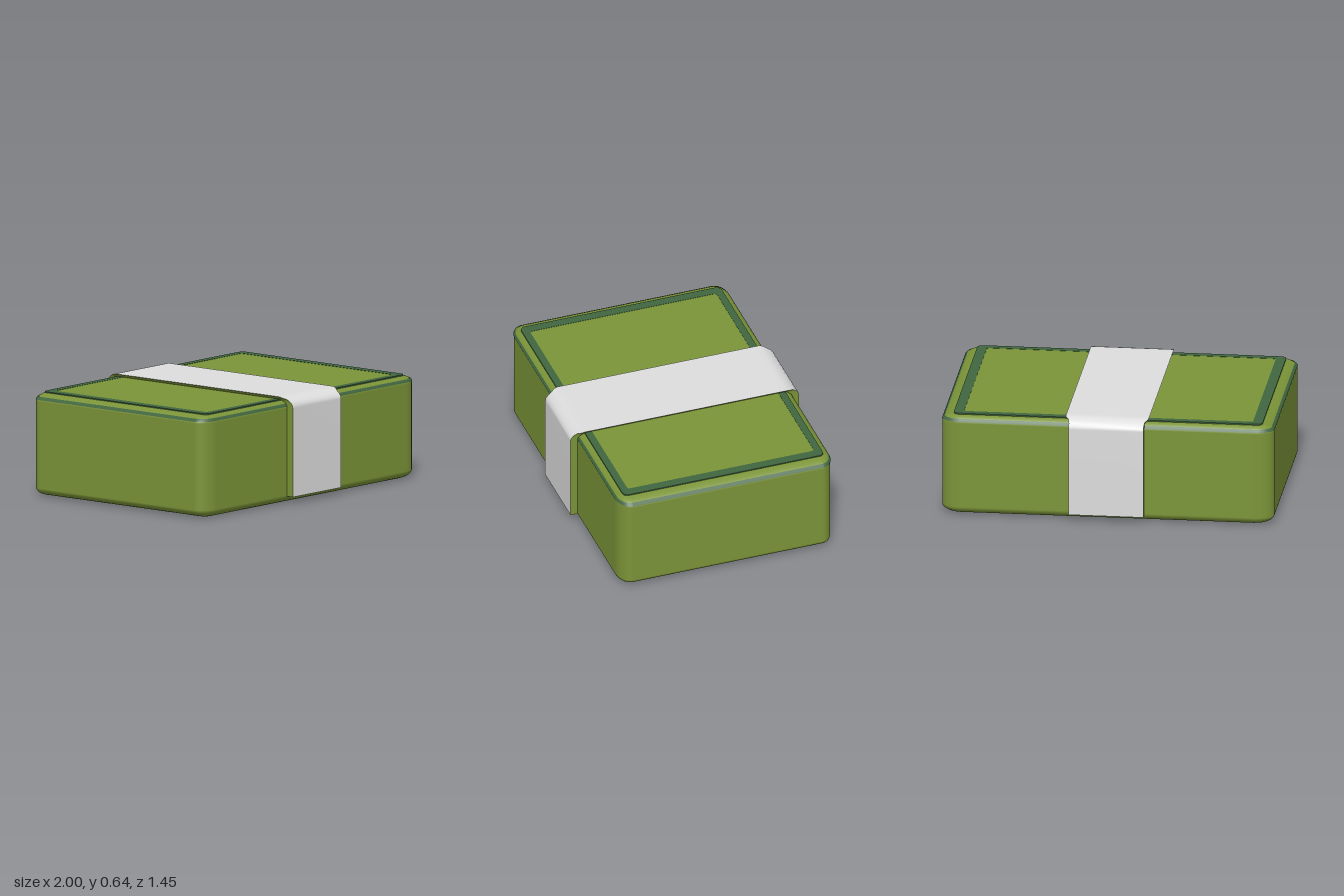
import * as THREE from 'three';
import { RoundedBoxGeometry } from 'three/addons/geometries/RoundedBoxGeometry.js';

// Box half sizes, height and the radii of its softened edges
const HX = 1, HZ = 0.68, H = 0.627;
const RX = 0.12, RY = 0.05, RZ = 0.08;

// Joins rows of points into a surface
function loft(rows) {
  const n = rows[0].length, index = [];
  for (let i = 0; i < rows.length - 1; i++) {
    for (let j = 0; j < n - 1; j++) {
      const a = i * n + j, b = a + 1, c = a + n, d = c + 1;
      index.push(a, b, c, b, d, c);
    }
  }
  const geo = new THREE.BufferGeometry();
  geo.setAttribute('position', new THREE.Float32BufferAttribute(rows.flat(2), 3));
  geo.setIndex(index);
  geo.computeVertexNormals();
  return geo;
}

// Rounded rectangle outline, with elliptical corners
function outline(path, hx, hz, rx, rz) {
  const corners = [[1, 1], [-1, 1], [-1, -1], [1, -1]];
  corners.forEach(([sx, sz], k) => {
    const start = k * Math.PI / 2;
    path.absellipse(sx * (hx - rx), sz * (hz - rz), rx, rz, start, start + Math.PI / 2, false, 0);
  });
  path.closePath();
  return path;
}

// Horizontal slice of the softened box, lifted slightly off its surface
function slice(y) {
  const t = Math.max(0, (y - (H - RY)) / RY);
  const k = Math.sqrt(1 - t * t), lift = 0.003;
  const path = outline(new THREE.Path(), HX - RX + RX * k + lift, HZ - RZ + RZ * k + lift, RX * k, RZ * k);
  return path.getPoints(6).map((p) => [p.x, y, p.y]);
}

export function createModel() {
  const group = new THREE.Group();
  const green = new THREE.MeshStandardMaterial({ color: 0x7b9438 });
  green.name = 'olive green';
  const teal = new THREE.MeshStandardMaterial({ color: 0x416640, side: THREE.DoubleSide });
  teal.name = 'dark green trim';
  const grey = new THREE.MeshStandardMaterial({ color: 0xdddddd, side: THREE.DoubleSide });
  grey.name = 'light grey';
  const edgeGreen = new THREE.MeshStandardMaterial({ color: 0x7b9438, side: THREE.DoubleSide });
  edgeGreen.name = 'strap edge green';

  const add = (name, geo, mat) => {
    const mesh = new THREE.Mesh(geo, mat);
    mesh.name = name;
    group.add(mesh);
    return mesh;
  };

  // Softened box
  const body = new RoundedBoxGeometry(2 * HX / RX, H / RY, 2 * HZ / RZ, 5, 1);
  body.scale(RX, RY, RZ);
  body.translate(0, H / 2, 0);
  add('boxBody', body, green);

  // Seam line around the lid
  add('lidSeam', loft([slice(0.587), slice(0.596), slice(0.604)]), teal);

  // Thin frame on the lid
  const frame = outline(new THREE.Shape(), 0.93, 0.637, 0.04, 0.03);
  frame.holes.push(outline(new THREE.Path(), 0.87, 0.592, 0.02, 0.015));
  const frameGeo = new THREE.ExtrudeGeometry(frame, { depth: 0.009, bevelEnabled: false, curveSegments: 5 });
  frameGeo.rotateX(-Math.PI / 2);
  frameGeo.translate(0, H - 0.0075, 0);
  add('lidFrame', frameGeo, teal);

  // Strap path: outer z, outer y, outer half width, inner z, inner y
  const half = [
    [0.725, 0.042, 0.225, 0.675, 0.042],
    [0.725, 0.3, 0.225, 0.675, 0.3],
    [0.725, 0.58, 0.225, 0.675, 0.56],
    [0.722, 0.597, 0.225, 0.673, 0.585],
    [0.708, 0.615, 0.226, 0.665, 0.6],
    [0.685, 0.63, 0.23, 0.65, 0.612],
    [0.662, 0.64, 0.247, 0.63, 0.618],
    [0.64, 0.645, 0.25, 0.61, 0.62],
    [0.6, 0.645, 0.25, 0.59, 0.62],
  ];
  const path = [...half, ...half.slice().reverse().map(([z, y, w, iz, iy]) => [-z, y, w, -iz, iy])];
  const innerW = 0.225;

  // Grey outer face of the strap
  add('strapFace', loft(path.map(([z, y, w]) => [[-w, y, z], [w, y, z]])), grey);

  // Green edges on both sides of the strap
  for (const s of [1, -1]) {
    const rows = path.map(([z, y, w, iz, iy]) => {
      const pts = [[s * w, y, z], [s * innerW, iy, iz]];
      return s > 0 ? pts : pts.reverse();
    });
    add(s > 0 ? 'strapEdgeLeft' : 'strapEdgeRight', loft(rows), edgeGreen);
  }

  // Green lower ends of the strap
  for (const s of [1, -1]) {
    const end = new THREE.PlaneGeometry(2 * innerW, 0.05);
    end.rotateX(Math.PI / 2);
    end.translate(0, 0.042, s * 0.7);
    add(s > 0 ? 'strapEndFront' : 'strapEndBack', end, edgeGreen);
  }

  return group;
}
